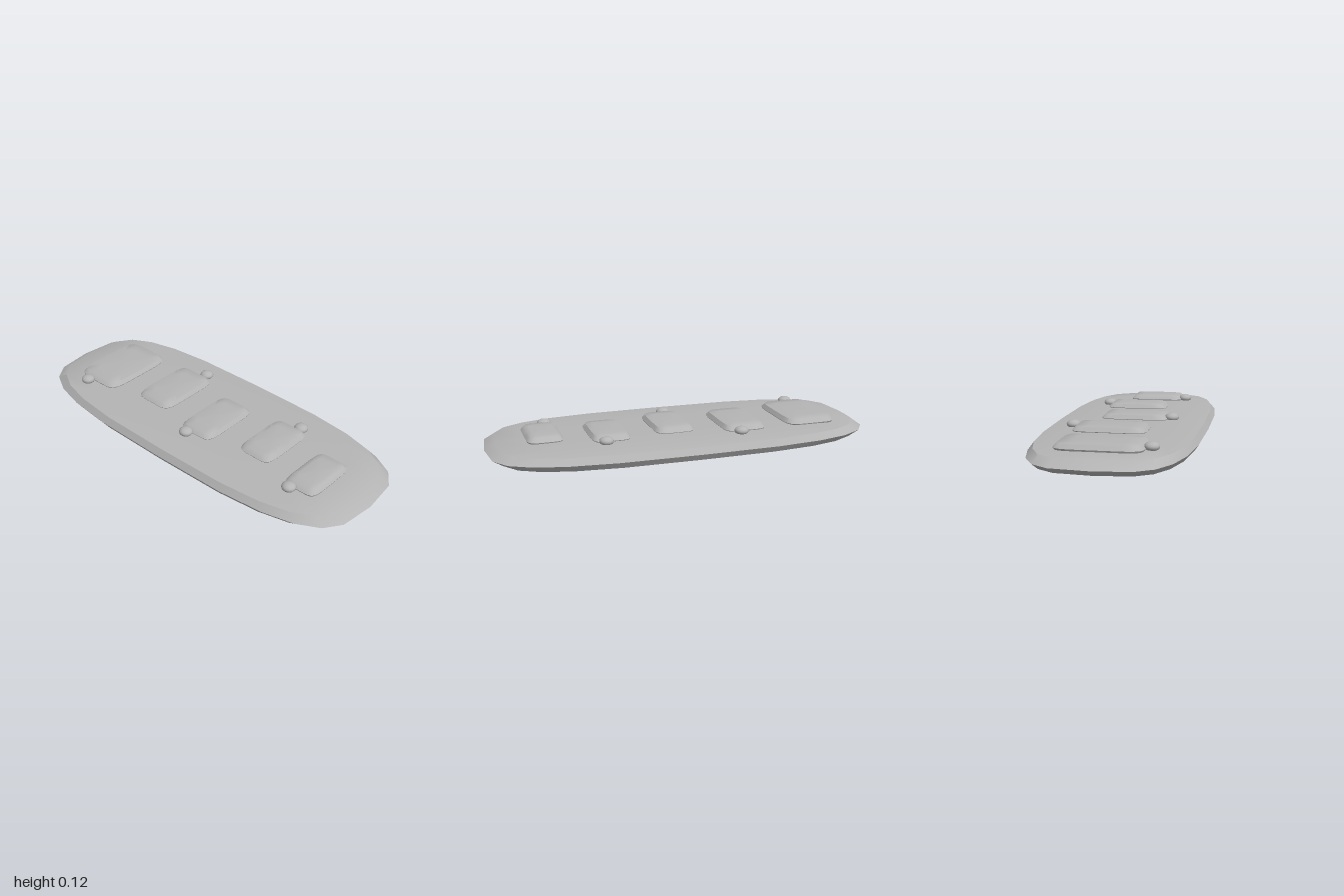
import * as THREE from 'three';
import { toCreasedNormals } from 'three/addons/utils/BufferGeometryUtils.js';

// Closed solid from an [x, z] outline and bottom-to-top rings [halfX, halfZ, y];
// the first and last rings shrink to a point.
function loft(outline, rings, crease) {
  const n = outline.length, pos = [], index = [];
  for (const [sx, sz, y] of rings) {
    for (const [x, z] of outline) pos.push(x * sx, y, z * sz);
  }
  for (let j = 0; j < rings.length - 1; j++) {
    for (let i = 0; i < n; i++) {
      const k = (i + 1) % n;
      const a = j * n + i, b = j * n + k, c = a + n, d = b + n;
      if (j > 0) index.push(a, c, b);
      if (j < rings.length - 2) index.push(b, c, d);
    }
  }
  const geometry = new THREE.BufferGeometry();
  geometry.setAttribute('position', new THREE.Float32BufferAttribute(pos, 3));
  geometry.setIndex(index);
  return toCreasedNormals(geometry, crease);
}

// Long faceted oval, mirrored from one quarter (unit half sizes)
function boardOutline() {
  const q = [[1, 0], [0.985, 0.41], [0.925, 0.65], [0.825, 0.81], [0.675, 0.92], [0.46, 0.98], [0, 1]];
  const half = [...q, ...q.slice(0, -1).reverse().map(([x, z]) => [-x, z])];
  return [...half, ...half.slice(1, -1).reverse().map(([x, z]) => [x, -z])];
}

// Rounded rectangle as a superellipse (unit half sizes)
function padOutline(count = 32, power = 0.36) {
  const soft = (v) => Math.sign(v) * Math.abs(v) ** power;
  return Array.from({ length: count }, (_, i) => {
    const t = (i / count) * Math.PI * 2;
    return [soft(Math.cos(t)), soft(Math.sin(t))];
  });
}

export function createModel() {
  const group = new THREE.Group();
  const stone = new THREE.MeshStandardMaterial({ color: 0xb4b4b4 });
  stone.name = 'stone grey';

  const add = (name, geometry, x = 0, y = 0, z = 0) => {
    const mesh = new THREE.Mesh(geometry, stone);
    mesh.name = name;
    mesh.position.set(x, y, z);
    group.add(mesh);
    return mesh;
  };

  // Flat board with a sharp rim
  const boardRings = [[0, 0.002], [0.4, 0.002], [0.78, 0.004], [0.945, 0.012], [1, 0.045],
    [0.945, 0.078], [0.78, 0.087], [0.4, 0.09], [0, 0.09]];
  add('board', loft(boardOutline(), boardRings.map(([s, y]) => [0.4 * s, s, y]), 0.6));

  // Raised pads: x min, x max, z min, z max
  const pads = [
    [-0.2, 0.22, -0.82, -0.54],
    [-0.14, 0.23, -0.42, -0.19],
    [-0.19, 0.16, -0.055, 0.155],
    [-0.13, 0.195, 0.29, 0.49],
    [-0.18, 0.12, 0.615, 0.8],
  ];
  pads.forEach(([x0, x1, z0, z1], i) => {
    const w = (x1 - x0) / 2, d = (z1 - z0) / 2;
    const rings = [[0, 0, 0.08], [w - 0.006, d - 0.006, 0.08], [w, d, 0.093],
      [w - 0.02, d - 0.015, 0.113], [w * 0.6, d * 0.6, 0.117], [0, 0, 0.118]];
    add(`pad${i + 1}`, loft(padOutline(), rings, 0.75), (x0 + x1) / 2, 0, (z0 + z1) / 2);
  });

  // Flattened beads beside the pads, alternating sides
  const beads = [[-0.223, -0.717], [0.249, -0.262], [-0.208, 0.015], [0.207, 0.43], [-0.195, 0.668]];
  const bead = new THREE.SphereGeometry(0.036, 16, 10);
  beads.forEach(([x, z], i) => {
    add(`bead${i + 1}`, bead, x, 0.1, z).scale.y = 0.62;
  });

  // Rest the underside on the ground
  group.children.forEach((mesh) => { mesh.position.y -= 0.002; });
  return group;
}
